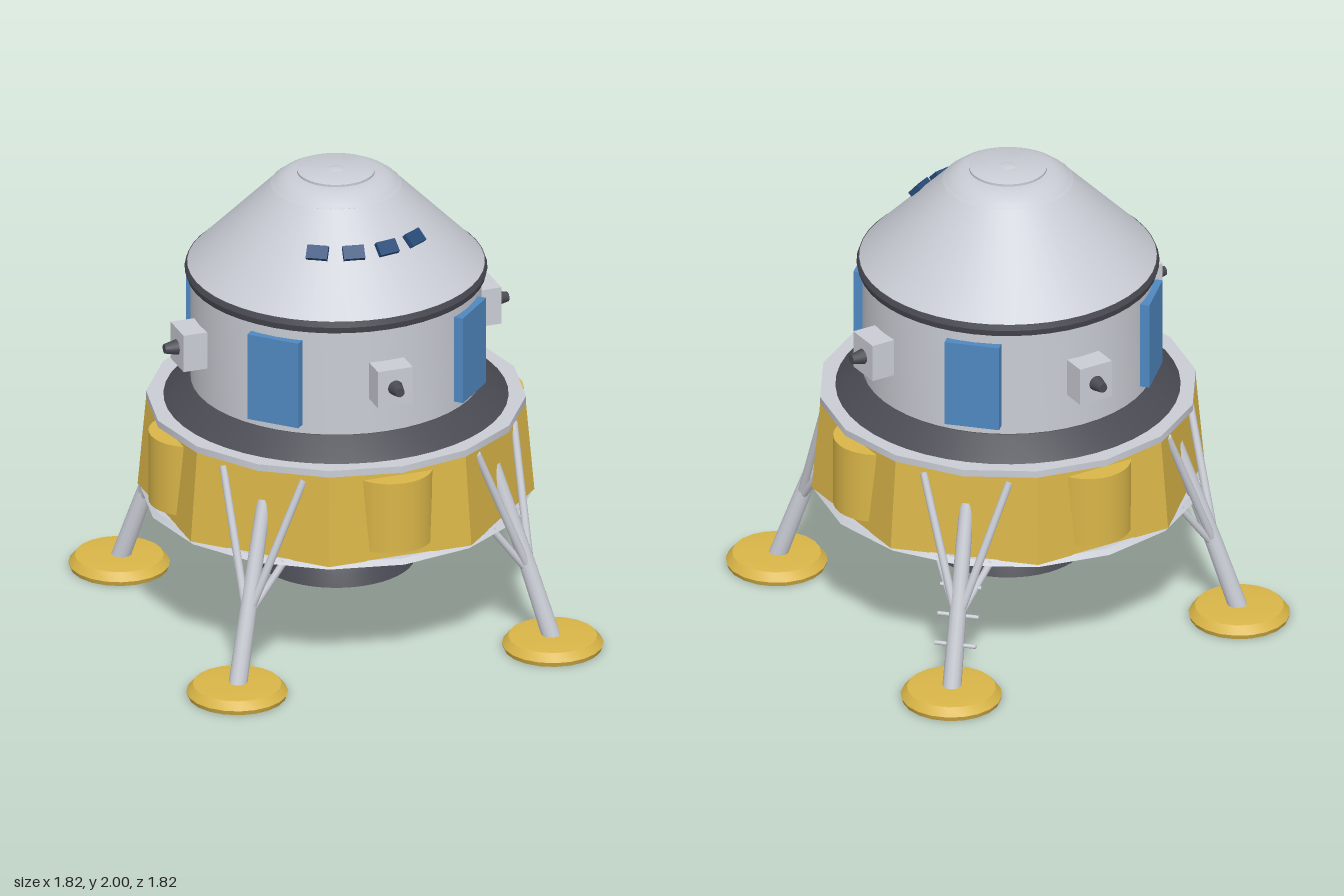
import * as THREE from 'three';
import { toCreasedNormals } from 'three/addons/utils/BufferGeometryUtils.js';

const mat = (name, color, side = THREE.FrontSide) => {
  const m = new THREE.MeshStandardMaterial({ color, side });
  m.name = name;
  return m;
};

export function createModel() {
  const root = new THREE.Group();
  root.name = 'landerCraft';

  const hull = mat('hullGrey', 0xc9ccd4);
  const dark = mat('darkGrey', 0x4a4b53, THREE.DoubleSide);
  const gold = mat('goldFoil', 0xd9b548);
  const blue = mat('panelBlue', 0x5088c0);
  const navy = mat('windowNavy', 0x264a78);

  const add = (name, geo, material, parent = root) => {
    const mesh = new THREE.Mesh(geo, material);
    mesh.name = name;
    parent.add(mesh);
    return mesh;
  };
  // Turned shape from [radius, height] pairs, listed bottom to top
  const turned = (pts, seg = 48) => toCreasedNormals(
    new THREE.LatheGeometry(pts.map(([r, y]) => new THREE.Vector2(r, y)), seg), 0.5);
  // Round bar between two points
  const bar = (name, a, b, r0, r1, material, parent) => {
    const from = new THREE.Vector3(...a), to = new THREE.Vector3(...b);
    const dir = to.clone().sub(from);
    const mesh = add(name, new THREE.CylinderGeometry(r1, r0, dir.length(), 12), material, parent);
    mesh.position.copy(from).add(to).multiplyScalar(0.5);
    mesh.quaternion.setFromUnitVectors(new THREE.Vector3(0, 1, 0), dir.normalize());
    return mesh;
  };
  // Group turned about the vertical axis; its local +z points outward
  const spoke = (name, angle) => {
    const g = new THREE.Group();
    g.name = name;
    g.rotation.y = angle;
    root.add(g);
    return g;
  };

  // Capsule: cone, dark rim and docking hatch
  add('capsuleCone', turned([[0.622, 1.57], [0.27, 1.928], [0.262, 1.937],
    [0.235, 1.958], [0.2, 1.976], [0.16, 1.982], [0, 1.982]]), hull);
  add('capsuleNeckRing', turned([[0.262, 1.925], [0.272, 1.93], [0.262, 1.938]]), hull);
  add('capsuleRim', turned([[0, 1.522], [0.622, 1.522], [0.63, 1.55], [0.622, 1.573], [0.6, 1.575]]), dark);
  add('dockingHatch', turned([[0.162, 1.975], [0.162, 1.992], [0.155, 1.995], [0, 1.995]]), hull);
  add('hatchKnob', turned([[0.04, 1.993], [0.025, 1.998], [0, 2.0]], 16), hull);

  // Windows on the slope of the cone
  for (const a of [-0.545, -0.18, 0.18, 0.545]) {
    const g = spoke('coneWindow', a);
    const w = add('coneWindowPane', new THREE.BoxGeometry(0.09, 0.06, 0.026), navy, g);
    w.position.set(0, 1.792, 0.414);
    w.rotation.x = -Math.PI / 4;
  }

  // Cabin drum and adapter
  add('cabin', turned([[0.605, 1.04], [0.605, 1.53]]), hull);
  add('adapterSkirt', turned([[0.72, 0.968], [0.7, 0.985], [0.61, 1.053], [0.59, 1.053]]), dark);

  for (let i = 0; i < 4; i++) {
    const axis = i * Math.PI / 2;

    // Thruster pods
    const pod = spoke('thrusterPod', axis);
    add('thrusterBox', new THREE.BoxGeometry(0.154, 0.165, 0.125), hull, pod).position.set(0, 1.292, 0.6425);
    bar('thrusterNozzle', [0, 1.292, 0.7], [0, 1.292, 0.762], 0.034, 0.02, dark, pod);

    // Foil tanks bulging out of the descent stage
    const tank = spoke('foilTank', axis);
    add('foilTankDrum', new THREE.CylinderGeometry(0.18, 0.18, 0.315, 32), gold, tank).position.set(0, 0.7475, 0.64);

    // Blue panels on the cabin
    const panel = spoke('sidePanel', axis + Math.PI / 4);
    add('sidePanelPlate', new THREE.BoxGeometry(0.233, 0.385, 0.06), blue, panel).position.set(0, 1.283, 0.603);
  }

  // Octagonal descent stage between two plates
  const stage = toCreasedNormals(new THREE.CylinderGeometry(0.79, 0.825, 0.392, 8), 0.3);
  stage.rotateY(Math.PI / 8);
  add('descentStage', stage, gold).position.y = 0.744;
  add('upperRing', new THREE.CylinderGeometry(0.79, 0.79, 0.03, 16), hull).position.y = 0.955;
  add('lowerPlate', new THREE.CylinderGeometry(0.79, 0.812, 0.02, 16), hull).position.y = 0.541;

  // Engine bell
  add('engineBell', turned([[0.33, 0.232], [0.312, 0.28], [0.288, 0.335], [0.255, 0.395],
    [0.215, 0.455], [0.16, 0.52], [0.12, 0.55]]), dark);

  // Legs on the four diagonals
  for (const [sx, sz] of [[1, 1], [1, -1], [-1, 1], [-1, -1]]) {
    const leg = new THREE.Group();
    leg.name = 'landingLeg';
    root.add(leg);
    const p = (x, y, z) => [x * sx, y, z * sz];

    add('footPad', turned([[0, 0.004], [0.205, 0], [0.212, 0.02], [0.185, 0.054], [0.15, 0.058], [0, 0.058]], 20),
      gold, leg).position.set(0.7 * sx, 0, 0.7 * sz);
    bar('mainStrut', p(0.7, 0.03, 0.7), p(0.625, 0.33, 0.625), 0.04, 0.036, hull, leg);
    bar('upperStrut', p(0.625, 0.33, 0.625), p(0.508, 0.78, 0.508), 0.036, 0.03, hull, leg);
    for (const swap of [false, true]) {
      const q = (x, y, z) => (swap ? p(z, y, x) : p(x, y, z));
      bar('sideStrut', q(0.63, 0.31, 0.63), q(0.645, 0.905, 0.385), 0.018, 0.016, hull, leg);
      bar('lowerBrace', q(0.63, 0.31, 0.63), q(0.62, 0.54, 0.46), 0.015, 0.015, hull, leg);
    }
  }

  // Ladder rungs on the back left leg
  for (let i = 0; i < 3; i++) {
    const y = 0.215 + i * 0.113, c = 0.65 - i * 0.034, h = 0.062;
    bar('ladderRung', [c - h, y, -c - h], [c + h, y, -c + h], 0.009, 0.009, hull, root);
  }

  return root;
}
